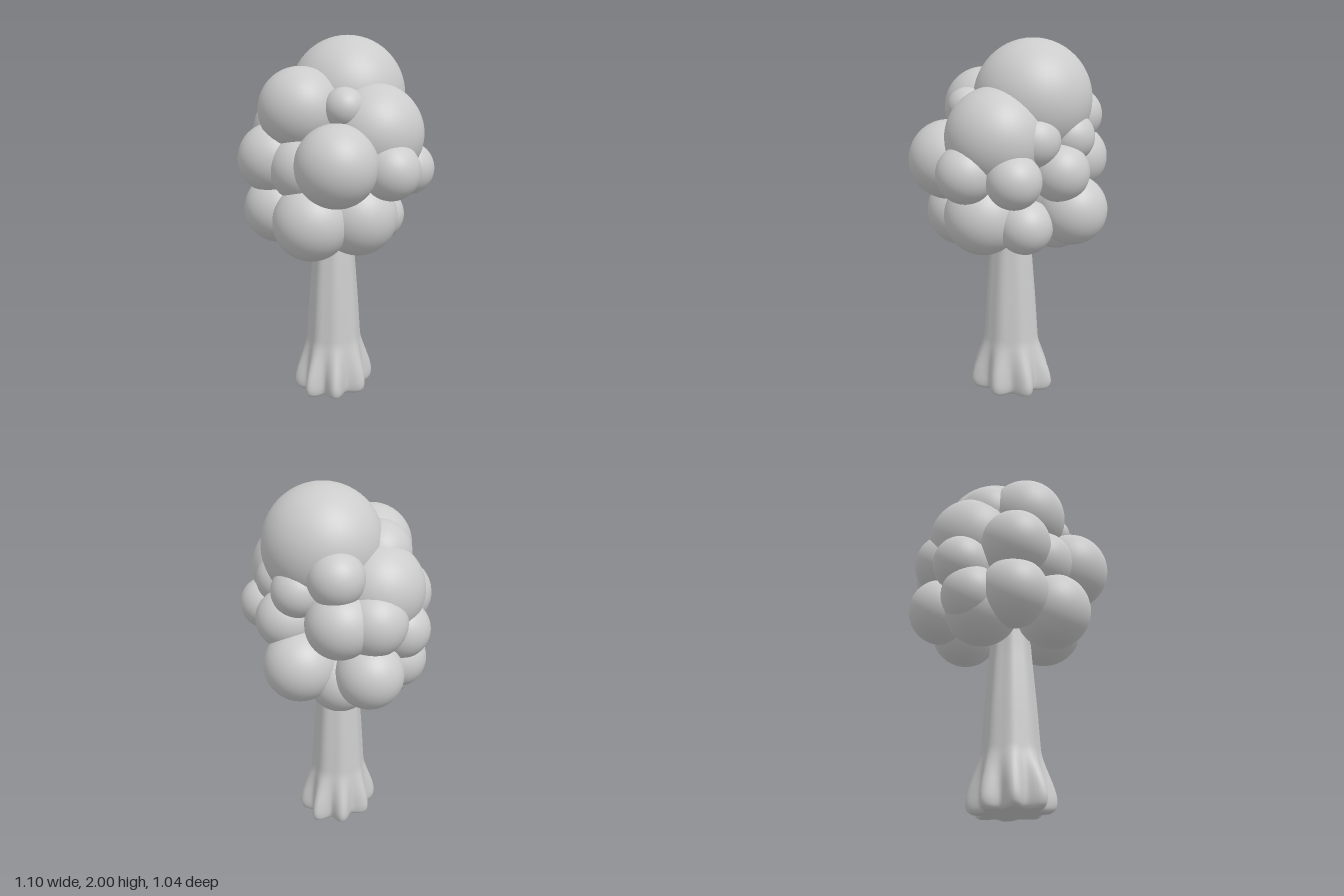
import * as THREE from 'three';
import { mergeVertices } from 'three/addons/utils/BufferGeometryUtils.js';

const material = new THREE.MeshStandardMaterial({ color: 0xcccccc });

// Leaf clumps: x, y, z, radius
const crown = [[0, 1.685, -0.1, 0.316]];
const upperClumps = [
  [-0.078, 1.625, 0.225, 0.222],
  [-0.22, 1.635, 0.08, 0.177],
  [0.18, 1.645, 0.2, 0.105],
  [0.232, 1.497, 0.005, 0.268],
  [-0.27, 1.475, 0, 0.25],
  [-0.21, 1.59, -0.27, 0.145],
  [0, 1.495, -0.31, 0.135],
  [0.2, 1.49, -0.19, 0.14],
];
const middleClumps = [
  [0.203, 1.365, 0.305, 0.214],
  [-0.02, 1.33, 0.28, 0.18],
  [-0.22, 1.365, 0.28, 0.19],
  [0.4, 1.33, 0.1, 0.152],
  [0.358, 1.305, -0.15, 0.143],
  [0.095, 1.32, -0.295, 0.157],
  [-0.23, 1.355, -0.265, 0.177],
  [-0.345, 1.355, -0.14, 0.177],
  [-0.395, 1.27, 0.045, 0.155],
];
const lowerClumps = [
  [0.045, 1.055, 0.303, 0.205],
  [-0.21, 1.09, 0.255, 0.187],
  [0.2, 1.07, 0.1, 0.212],
  [0.18, 1.03, -0.135, 0.15],
  [-0.02, 1.1, -0.325, 0.192],
  [-0.17, 1, -0.18, 0.17],
  [-0.345, 1.075, -0.165, 0.18],
  [-0.35, 1.085, 0.08, 0.163],
  [-0.26, 1.05, 0.06, 0.205],
];

function clumps(name, list) {
  const group = new THREE.Group();
  group.name = name;
  for (const [x, y, z, r] of list) {
    const ball = new THREE.Mesh(new THREE.SphereGeometry(r, 40, 28), material);
    ball.name = 'leafClump';
    ball.position.set(x, y, z);
    group.add(ball);
  }
  return group;
}

// Tapered trunk, fluted into eight rounded roots at the foot
function trunk() {
  const profile = [
    [0, 0.01], [0.12, 0.01], [0.168, 0.012], [0.188, 0.03], [0.196, 0.07], [0.19, 0.13],
    [0.177, 0.19], [0.162, 0.25], [0.151, 0.3], [0.146, 0.36], [0.134, 0.55], [0.119, 0.75], [0.108, 0.9], [0.1, 1.15],
  ].map(([r, y]) => new THREE.Vector2(r, y));
  const curve = new THREE.SplineCurve(profile.slice(2));
  const points = [...profile.slice(0, 2), ...curve.getPoints(44)];
  let geometry = new THREE.LatheGeometry(points, 96);
  const p = geometry.attributes.position;
  for (let i = 0; i < p.count; i++) {
    const x = p.getX(i), y = p.getY(i), z = p.getZ(i);
    const flare = 1 - THREE.MathUtils.smoothstep(y, 0.05, 0.34);
    const angle = Math.atan2(x, z);
    const flute = 1 + (0.02 + 0.13 * flare) * Math.cos(8 * angle + 0.5 * Math.sin(angle + 1));
    p.setXYZ(i, x * flute * (1 - 0.05 * flare), y - 0.01 * flare, z * flute * (1.07 + 0.04 * flare));
  }
  geometry.deleteAttribute('uv');
  geometry.deleteAttribute('normal');
  geometry = mergeVertices(geometry, 1e-5);
  geometry.computeVertexNormals();
  const mesh = new THREE.Mesh(geometry, material);
  mesh.name = 'trunk';
  mesh.position.set(-0.004, 0, 0.03);
  return mesh;
}

export function createModel() {
  const tree = new THREE.Group();
  tree.name = 'tree';
  tree.add(
    trunk(),
    clumps('crown', crown),
    clumps('upperFoliage', upperClumps),
    clumps('middleFoliage', middleClumps),
    clumps('lowerFoliage', lowerClumps),
    clumps('foliageCore', [[0, 1.27, 0, 0.27]]),
  );
  return tree;
}
